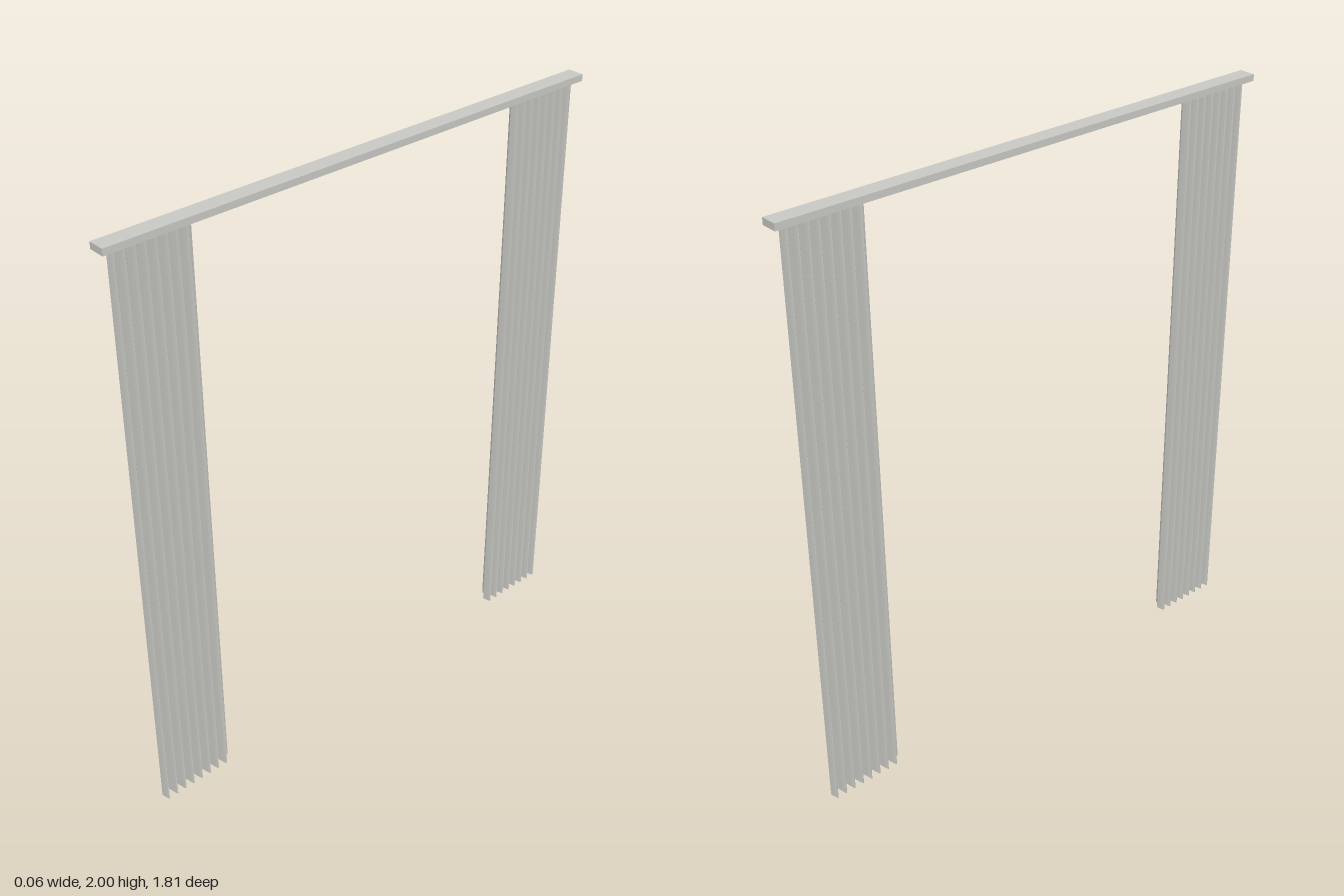
import * as THREE from 'three';

const FOLDS = 8, WIDTH = 0.268, HEIGHT = 1.98;

// A sheet in the y-z plane, pleated along z; folds open slightly toward the hem
function pleatedSheet() {
  const geo = new THREE.PlaneGeometry(WIDTH, HEIGHT, FOLDS * 12, 6);
  geo.rotateY(-Math.PI / 2);
  geo.translate(0, HEIGHT / 2, 0);
  const p = geo.attributes.position;
  for (let i = 0; i < p.count; i++) {
    const t = p.getZ(i) / WIDTH + 0.5;
    const depth = 0.0295 - 0.0015 * (p.getY(i) / HEIGHT);
    p.setX(i, -depth * Math.sin(t * FOLDS * Math.PI * 2));
  }
  geo.computeVertexNormals();
  return geo;
}

export function createModel() {
  const group = new THREE.Group();
  group.name = 'curtains';

  const railGrey = new THREE.MeshStandardMaterial({ color: 0xc8c8c4 });
  railGrey.name = 'warm grey rail';
  const clothGrey = new THREE.MeshStandardMaterial({ color: 0xc8c8c4, side: THREE.DoubleSide });
  clothGrey.name = 'warm grey cloth';

  // Ceiling rail
  const rail = new THREE.Mesh(new THREE.BoxGeometry(0.056, 0.022, 1.814), railGrey);
  rail.name = 'rail';
  rail.position.y = 1.989;
  group.add(rail);

  // Drawn curtains at both ends
  const sheet = pleatedSheet();
  for (const [name, side] of [['frontCurtain', 1], ['backCurtain', -1]]) {
    const curtain = new THREE.Mesh(sheet, clothGrey);
    curtain.name = name;
    curtain.position.z = side * 0.745;
    group.add(curtain);
  }
  return group;
}
